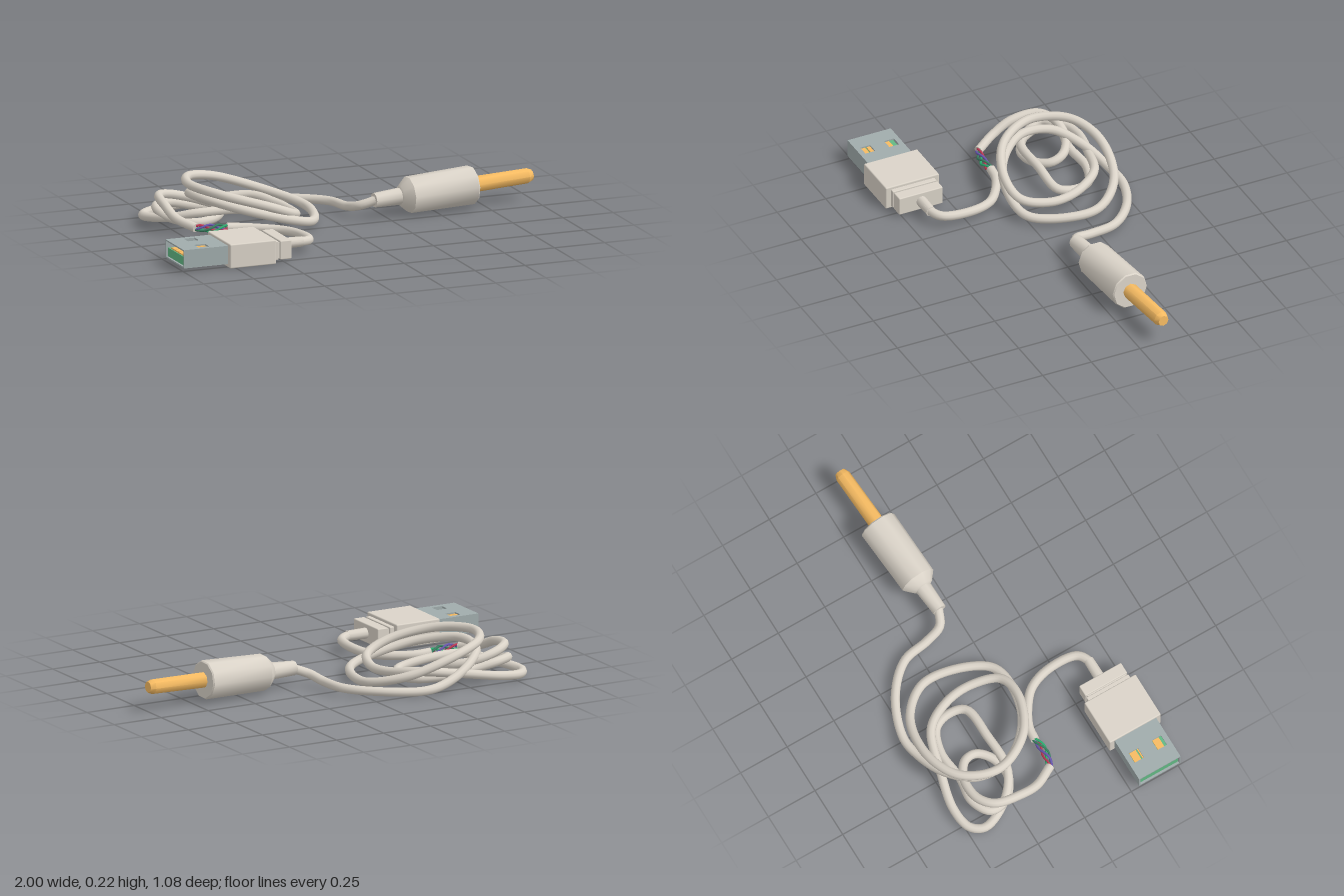
import * as THREE from 'three';
import { toCreasedNormals } from 'three/addons/utils/BufferGeometryUtils.js';
import { RoundedBoxGeometry } from 'three/addons/geometries/RoundedBoxGeometry.js';

const mat = (color) => new THREE.MeshStandardMaterial({ color, side: THREE.DoubleSide });
const PLASTIC = mat(0xdad3c8), GOLD = mat(0xf6bb62), STEEL = mat(0xa0acac), BOARD = mat(0x62b884);
const CORD_R = 0.0215;

function add(parent, name, geometry, material) {
  const mesh = new THREE.Mesh(geometry, material);
  mesh.name = name;
  parent.add(mesh);
  return mesh;
}

// Box given by its limits on each axis, with softened edges if a radius is given
function block(parent, name, material, [x0, x1], [y0, y1], [z0, z1], radius = 0) {
  const size = [x1 - x0, y1 - y0, z1 - z0];
  const geometry = radius ? new RoundedBoxGeometry(...size, 2, radius) : new THREE.BoxGeometry(...size);
  const mesh = add(parent, name, geometry, material);
  mesh.position.set((x0 + x1) / 2, (y0 + y1) / 2, (z0 + z1) / 2);
}

const curveOf = (points) =>
  new THREE.CatmullRomCurve3(points.map((p) => new THREE.Vector3(...p)), false, 'centripetal');

// Round cord along a smooth path, closed at both ends
function cord(parent, name, points, steps) {
  const curve = curveOf(points);
  add(parent, name, new THREE.TubeGeometry(curve, steps, CORD_R, 10), PLASTIC);
  for (const t of [0, 1]) {
    const cap = add(parent, name + 'End', new THREE.CircleGeometry(CORD_R, 10), PLASTIC);
    cap.position.copy(curve.getPointAt(t));
    const away = curve.getTangentAt(t).multiplyScalar(t ? 1 : -1);
    cap.quaternion.setFromUnitVectors(new THREE.Vector3(0, 0, 1), away);
  }
}

// Turned part with soft sides and sharp shoulders
const lathe = (profile, sides, crease) => toCreasedNormals(
  new THREE.LatheGeometry(profile.map(([r, y]) => new THREE.Vector2(r, y)), sides), crease);

function makeFlatPlug() {
  const plug = new THREE.Group();
  plug.name = 'flatPlug';

  // Moulded housing, stepping down to a ribbed neck
  block(plug, 'housing', PLASTIC, [-0.78, -0.55], [0.003, 0.118], [0.265, 0.54], 0.006);
  block(plug, 'neckRib', PLASTIC, [-0.56, -0.528], [0.014, 0.104], [0.289, 0.514], 0.004);
  block(plug, 'neckGroove', PLASTIC, [-0.535, -0.51], [0.022, 0.096], [0.298, 0.505]);
  block(plug, 'neckRib', PLASTIC, [-0.52, -0.463], [0.014, 0.104], [0.289, 0.514], 0.005);
  const sleeve = add(plug, 'cordSleeve', new THREE.CylinderGeometry(0.024, 0.026, 0.1, 10), PLASTIC);
  sleeve.rotation.z = -Math.PI / 2;
  sleeve.position.set(-0.413, 0.06, 0.4);

  // Hollow metal shell, the top plate pierced by two windows
  const plate = new THREE.Shape();
  plate.moveTo(-1, -0.514).lineTo(-0.78, -0.514).lineTo(-0.78, -0.292).lineTo(-1, -0.292).closePath();
  for (const z of [0.341, 0.464]) {
    const hole = new THREE.Path();
    hole.moveTo(-0.919, -z - 0.025).lineTo(-0.919, -z + 0.025);
    hole.lineTo(-0.865, -z + 0.025).lineTo(-0.865, -z - 0.025).closePath();
    plate.holes.push(hole);
  }
  const top = add(plug, 'shellTop',
    new THREE.ExtrudeGeometry(plate, { depth: 0.007, bevelEnabled: false }), STEEL);
  top.rotation.x = -Math.PI / 2;
  top.position.y = 0.1;
  block(plug, 'shellBottom', STEEL, [-1, -0.78], [0.02, 0.027], [0.292, 0.514]);
  for (const z of [0.292, 0.507]) {
    block(plug, 'shellSide', STEEL, [-1, -0.78], [0.027, 0.1], [z, z + 0.007]);
  }

  // Contact tongue inside the shell
  block(plug, 'contactTongue', BOARD, [-0.99, -0.78], [0.027, 0.068], [0.299, 0.507]);
  for (const z of [0.341, 0.382, 0.423, 0.464]) {
    block(plug, 'contact', GOLD, [-0.985, -0.79], [0.068, 0.074], [z - 0.017, z + 0.017]);
  }
  return plug;
}

function makeRoundPlug() {
  // Turned parts along a slightly tilted axis
  const plug = new THREE.Group();
  plug.name = 'roundPlug';
  add(plug, 'grip', lathe([
    [0, 0], [0.034, 0], [0.04, 0.13], [0.05, 0.135], [0.086, 0.175],
    [0.091, 0.498], [0.086, 0.504], [0, 0.504],
  ], 10, 0.68), PLASTIC);
  add(plug, 'pin', lathe([[0.038, 0.49], [0.036, 0.785], [0.026, 0.809], [0, 0.809]], 8, 0.82), GOLD);
  plug.position.set(0.19, 0.09, -0.07);
  plug.quaternion.setFromUnitVectors(
    new THREE.Vector3(0, 1, 0), new THREE.Vector3(0.8, 0.028, -0.052).normalize());
  return plug;
}

function makeCords() {
  const cords = new THREE.Group();
  cords.name = 'cords';

  // Short lead from the flat plug to the stripped section
  cord(cords, 'shortLead', [
    [-0.46, 0.06, 0.4], [-0.37, 0.06, 0.4], [-0.315, 0.055, 0.365], [-0.302, 0.047, 0.22],
    [-0.34, 0.042, 0.11], [-0.42, 0.042, 0.04], [-0.5, 0.045, 0], [-0.57, 0.05, -0.01],
  ], 60);

  // Coils: raised small loop, low middle loop, two large tilted loops, then the lead out
  const smallLoop = [
    [-0.72, 0.06, -0.02], [-0.775, 0.085, -0.12], [-0.79, 0.125, -0.22], [-0.77, 0.142, -0.345],
    [-0.7, 0.13, -0.4], [-0.585, 0.1, -0.4], [-0.5, 0.075, -0.345], [-0.49, 0.055, -0.28],
    [-0.55, 0.04, -0.22], [-0.655, 0.035, -0.205], [-0.755, 0.055, -0.28], [-0.775, 0.085, -0.37],
  ];
  const middleLoop = [
    [-0.69, 0.085, -0.42], [-0.56, 0.06, -0.405], [-0.4, 0.05, -0.415], [-0.285, 0.045, -0.37],
    [-0.255, 0.045, -0.29], [-0.28, 0.055, -0.21], [-0.45, 0.08, -0.195], [-0.64, 0.08, -0.2],
    [-0.75, 0.05, -0.28], [-0.815, 0.032, -0.42], [-0.775, 0.03, -0.485], [-0.665, 0.04, -0.505],
  ];
  const largeLoops = [
    [-0.48, 0.065, -0.465], [-0.29, 0.085, -0.4], [-0.205, 0.065, -0.265], [-0.19, 0.06, -0.13],
    [-0.24, 0.085, 0], [-0.37, 0.135, 0.02], [-0.56, 0.185, -0.07], [-0.655, 0.205, -0.25],
    [-0.59, 0.2, -0.42], [-0.425, 0.165, -0.495], [-0.2, 0.09, -0.46], [-0.07, 0.045, -0.32],
    [-0.075, 0.035, -0.16], [-0.155, 0.04, 0], [-0.265, 0.065, 0.03], [-0.48, 0.12, -0.025],
    [-0.625, 0.155, -0.185], [-0.62, 0.14, -0.345],
  ];
  const leadOut = [
    [-0.505, 0.09, -0.455], [-0.355, 0.04, -0.51], [-0.24, 0.027, -0.522], [-0.05, 0.033, -0.45],
    [0.075, 0.038, -0.325], [0.103, 0.043, -0.19], [0.13, 0.063, -0.105], [0.2, 0.09, -0.07],
  ];
  cord(cords, 'coiledCord', [...smallLoop, ...middleLoop, ...largeLoops, ...leadOut], 420);

  // Four loosely twisted wires bridging the stripped gap
  const from = new THREE.Vector3(-0.565, 0.05, -0.01), to = new THREE.Vector3(-0.722, 0.06, -0.02);
  [0x2cae70, 0xc03a56, 0x6a58b0, 0x3a8062].forEach((color, i) => {
    const points = [];
    for (let k = 0; k <= 12; k++) {
      const t = k / 12, a = (i * Math.PI) / 2 + t * Math.PI * 1.6;
      const bulge = Math.sin(Math.PI * t), r = 0.01 + 0.006 * bulge;
      const p = from.clone().lerp(to, t);
      points.push([p.x, p.y + r * Math.cos(a), p.z + 0.012 * bulge + r * Math.sin(a)]);
    }
    add(cords, 'innerWire', new THREE.TubeGeometry(curveOf(points), 36, 0.0055, 6), mat(color));
  });
  return cords;
}

export function createModel() {
  const model = new THREE.Group();
  model.name = 'adapterCable';
  model.add(makeFlatPlug(), makeRoundPlug(), makeCords());
  return model;
}
